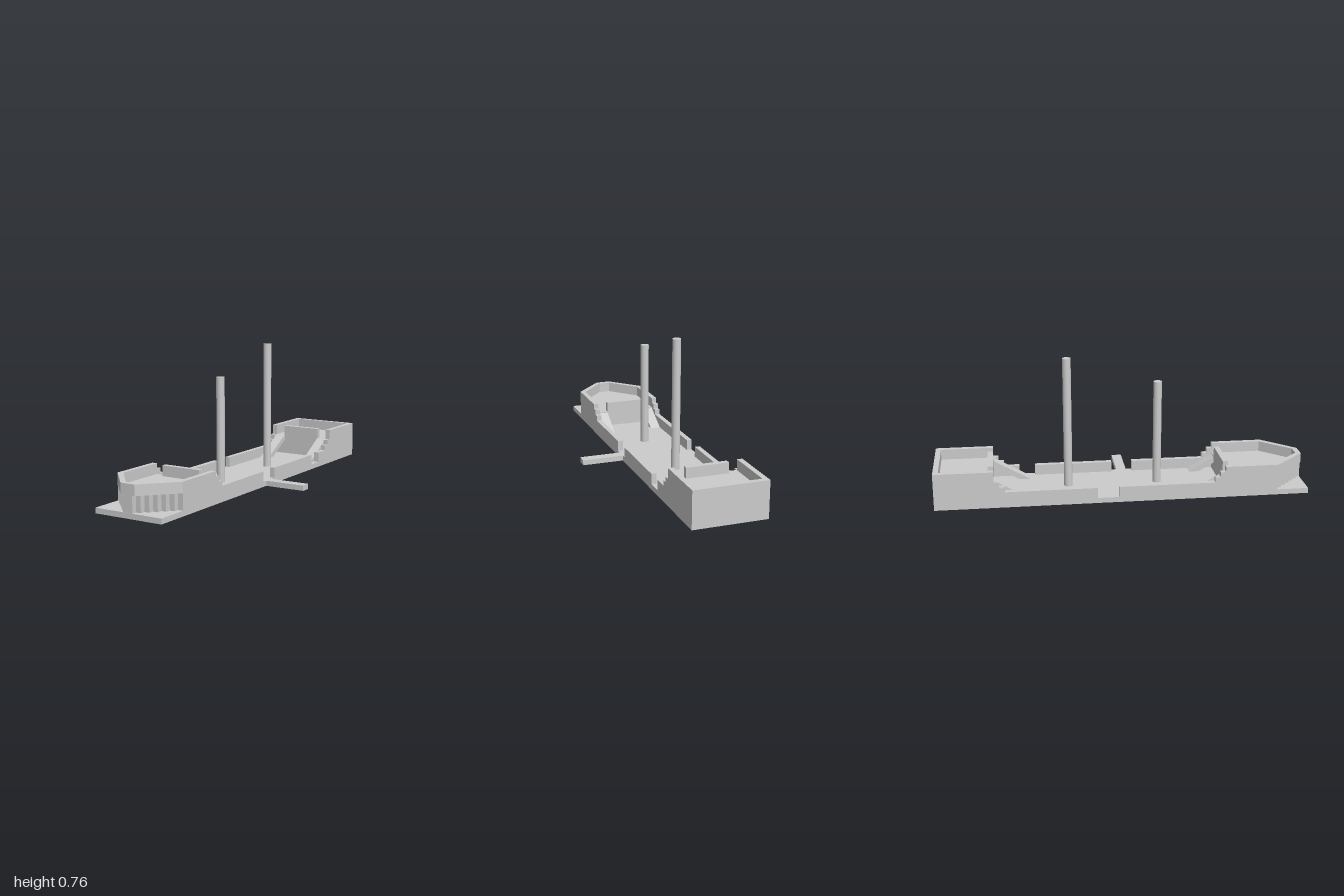
import * as THREE from 'three';

export function createModel() {
  const group = new THREE.Group();
  group.name = 'sailingShip';
  const mat = new THREE.MeshStandardMaterial({ color: 0xcccccc });
  const U = 0.0286;                 // plank thickness
  const L = -0.315, R = 0.085;      // hull sides
  const MID = (L + R) / 2;
  const BASE = 0.0115, FLOOR = 0.04, RAIL = 0.097;
  const BOW_DECK = 0.126, BOW_TOP = 0.183, STERN_DECK = 0.154, STERN_TOP = 0.211;
  const BOW_Z = 0.828;              // where the bow starts to taper

  function add(name, geometry) {
    const mesh = new THREE.Mesh(geometry, mat);
    mesh.name = name;
    group.add(mesh);
    return mesh;
  }
  function box(name, x0, x1, y0, y1, z0, z1) {
    const mesh = add(name, new THREE.BoxGeometry(x1 - x0, y1 - y0, z1 - z0));
    mesh.position.set((x0 + x1) / 2, (y0 + y1) / 2, (z0 + z1) / 2);
    return mesh;
  }

  // Main deck and gangplank
  box('mainDeck', L, R, BASE, FLOOR, -1, 1);
  box('gangplank', R, 0.315, BASE, FLOOR, 0, 0.055);

  // Raised stern with rails
  box('sternBody', L, R, FLOOR, STERN_DECK, -1, -0.688);
  box('sternBackRail', L, R, STERN_DECK, STERN_TOP, -1, -1 + U);
  box('sternParapet', -0.23, 0, STERN_DECK, STERN_TOP, -0.688 - U, -0.688);

  // Raised bow: solid block, then stepped columns narrowing to the prow
  box('bowBody', L, R, FLOOR, BOW_DECK, 0.543, BOW_Z);
  box('bowParapet', -0.23, 0, BOW_DECK, BOW_TOP, 0.543, 0.543 + U);
  for (let i = 1; i < 6; i++) {
    const z = BOW_Z + i * U;
    box('bowStepRight', L + i * U, L + (i + 1) * U, FLOOR, BOW_DECK, BOW_Z, z);
    box('bowStepLeft', R - (i + 1) * U, R - i * U, FLOOR, BOW_DECK, BOW_Z, z);
  }
  box('prow', L + 6 * U, R - 6 * U, FLOOR, BOW_DECK, BOW_Z, 0.999);

  // Angled bulwark around the bow, open towards the main deck
  const half = (R - L) / 2;
  const outline = [
    [-half, 0.543], [-half, BOW_Z], [-0.042, 0.998], [0.042, 0.998], [half, BOW_Z], [half, 0.543],
    [half - U, 0.543], [half - U, 0.815], [0.033, 0.969], [-0.033, 0.969], [-half + U, 0.815], [-half + U, 0.543],
  ];
  const shape = new THREE.Shape(outline.map(([x, z]) => new THREE.Vector2(x, -z)));
  const bulwark = add('bowBulwark',
    new THREE.ExtrudeGeometry(shape, { depth: BOW_TOP - BOW_DECK, bevelEnabled: false }));
  bulwark.rotation.x = -Math.PI / 2;
  bulwark.position.set(MID, BOW_DECK, 0);

  // Side walls: stepped ends shared by both sides, with boarding gaps between
  const ends = [
    [-0.688, -0.66, STERN_DECK], [-0.66, -0.631, BOW_DECK],
    [0.515, 0.543, STERN_DECK], [0.487, 0.515, BOW_DECK],
  ];
  const sides = [
    { name: 'rightWall', x: L, runs: [[-0.631, -0.145, RAIL], [-0.03, 0.487, RAIL]] },
    { name: 'leftWall', x: R - U, runs: [[-0.631, -0.545, RAIL], [-0.459, -0.03, RAIL], [0.085, 0.487, RAIL]] },
  ];
  for (const { name, x, runs } of sides) {
    for (const [z0, z1, top] of [...ends, ...runs]) box(name, x, x + U, FLOOR, top, z0, z1);
    box(name + 'SternRail', x, x + U, STERN_DECK, STERN_TOP, -1 + U, -0.688);
  }

  // Sloping ramps up to both raised decks, one at each side
  function ramp(name, x, zLow, dir, length) {
    const slope = Math.PI / 6, c = Math.cos(slope), s = Math.sin(slope);
    const mesh = add(name, new THREE.BoxGeometry(0.057, U, length));
    mesh.rotation.x = -dir * slope;
    mesh.position.set(x, 0.0245 + (length / 2) * s - (U / 2) * c,
      zLow + dir * ((length / 2) * c + (U / 2) * s));
  }
  for (const x of [L + U + 0.0285, R - U - 0.0285]) {
    ramp('sternRamp', x, -0.463, -1, 0.259);
    ramp('bowRamp', x, 0.376, 1, 0.2);
  }

  // Masts
  for (const [name, z, top] of [['foreMast', 0.2, 0.612], ['mainMast', -0.286, 0.755]]) {
    const mast = add(name, new THREE.CylinderGeometry(0.0228, 0.0228, top - FLOOR, 32));
    mast.position.set(MID, (top + FLOOR) / 2, z);
  }
  return group;
}
